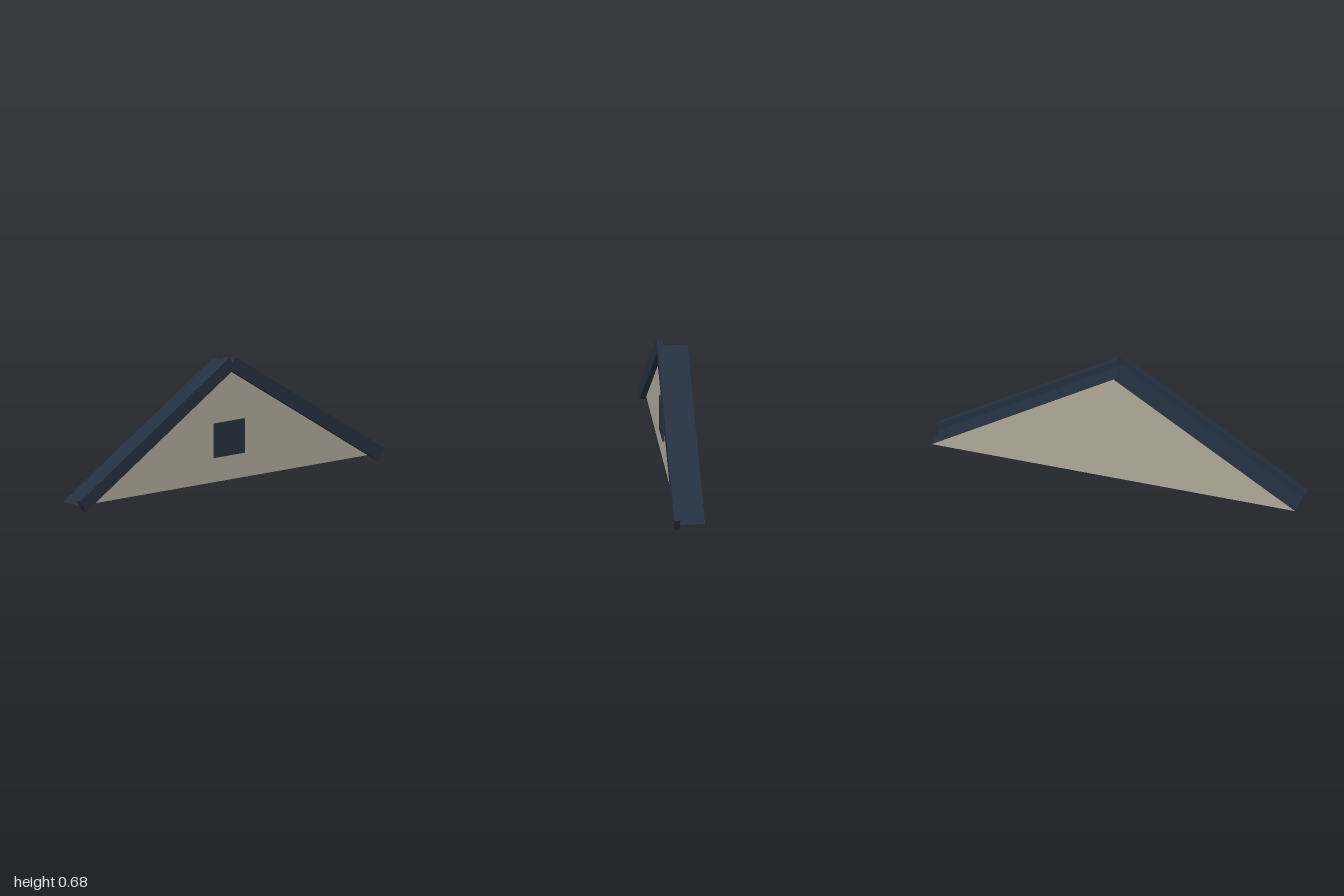
import * as THREE from 'three';

export function createModel() {
  const slate = new THREE.MeshStandardMaterial({ name: 'dark slate', color: 0x243040 });
  const stucco = new THREE.MeshStandardMaterial({ name: 'warm stucco', color: 0xafa899 });

  const half = 0.98, base = 0.03, peak = 0.65;
  const back = -0.08, wallFront = 0.05, boardFront = 0.08;
  const group = new THREE.Group();
  group.name = 'gable';

  // Triangular body: stucco front and back, slate roof slopes and underside
  const triangle = new THREE.Shape([
    new THREE.Vector2(-half, base),
    new THREE.Vector2(half, base),
    new THREE.Vector2(0, peak),
  ]);
  const bodyGeometry = new THREE.ExtrudeGeometry(triangle, {
    depth: wallFront - back, bevelEnabled: false,
  });
  const body = new THREE.Mesh(bodyGeometry, [stucco, slate]);
  body.name = 'gableBody';
  body.position.z = back;
  group.add(body);

  // Trim boards centred on the two sloping edges
  const rise = peak - base;
  const slope = Math.atan2(rise, half);
  const boardGeometry = new THREE.BoxGeometry(Math.hypot(half, rise), 0.072, boardFront - wallFront);
  for (const side of [-1, 1]) {
    const board = new THREE.Mesh(boardGeometry, slate);
    board.name = side > 0 ? 'leftTrimBoard' : 'rightTrimBoard';
    board.position.set(side * half / 2, (base + peak) / 2, (wallFront + boardFront) / 2);
    board.rotation.z = -side * slope;
    group.add(board);
  }

  // Square attic vent on the front wall
  const vent = new THREE.Mesh(new THREE.BoxGeometry(0.2, 0.18, 0.01), slate);
  vent.name = 'atticVent';
  vent.position.set(0, 0.25, wallFront + 0.005);
  group.add(vent);

  return group;
}
